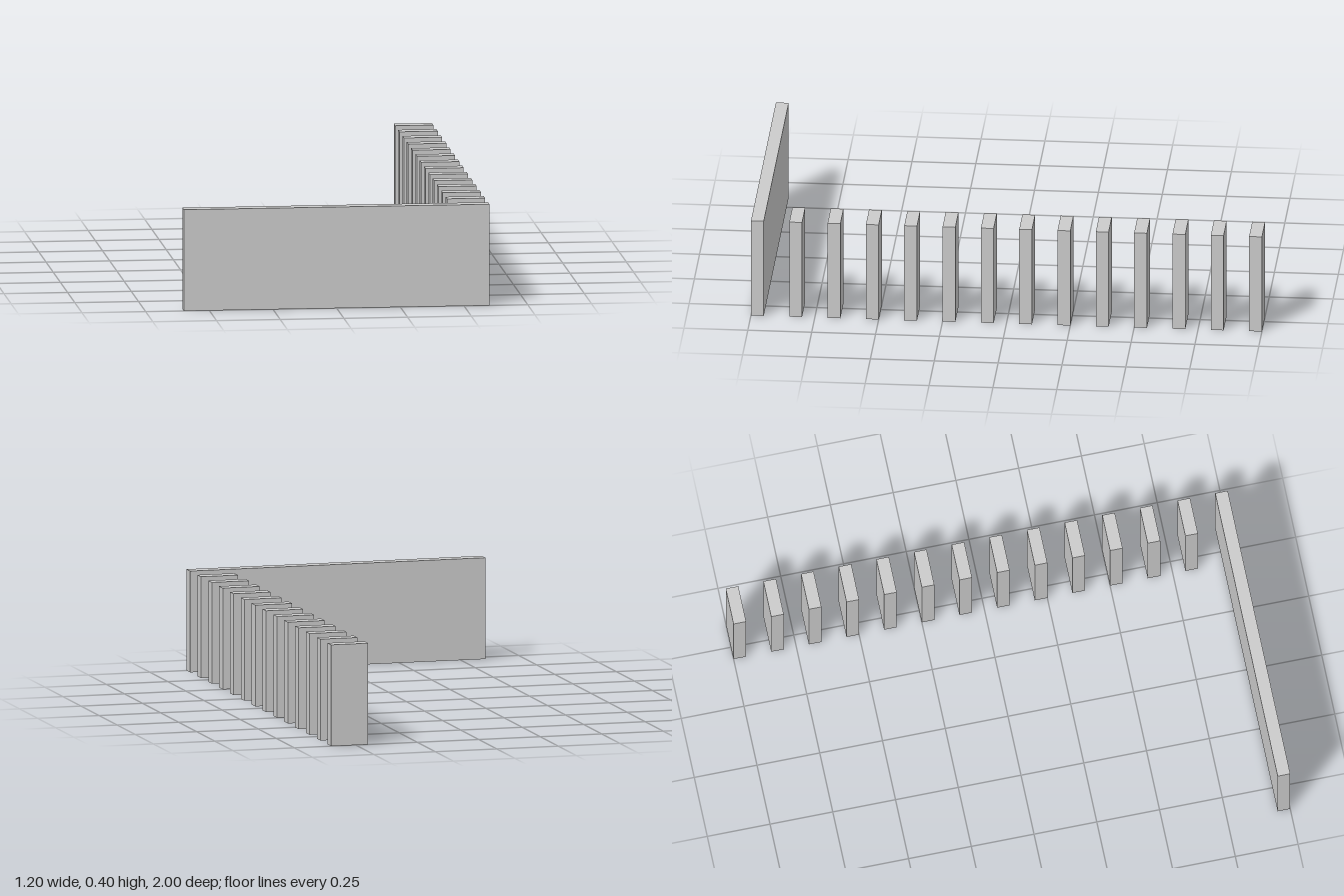
import * as THREE from 'three';

const HEIGHT = 0.4, THICK = 0.05, WIDTH = 1.2, FIN_WIDTH = 0.15;
const PITCH = 0.15, FIN_COUNT = 13, WALL_Z = 0.975;

export function createModel() {
  const model = new THREE.Group();
  model.name = 'finnedScreen';
  const material = new THREE.MeshStandardMaterial({ color: 0xcccccc });

  // Upright slab standing on the ground
  const addSlab = (name, geometry, x, z) => {
    const mesh = new THREE.Mesh(geometry, material);
    mesh.name = name;
    mesh.position.set(x, HEIGHT / 2, z);
    model.add(mesh);
  };

  // Long wall across the front
  addSlab('frontWall', new THREE.BoxGeometry(WIDTH, HEIGHT, THICK), 0, WALL_Z);

  // Row of evenly spaced fins running back from the wall's left end
  const finGeometry = new THREE.BoxGeometry(FIN_WIDTH, HEIGHT, THICK);
  for (let i = 1; i <= FIN_COUNT; i++) {
    addSlab(`fin${i}`, finGeometry, (WIDTH - FIN_WIDTH) / 2, WALL_Z - i * PITCH);
  }
  return model;
}
